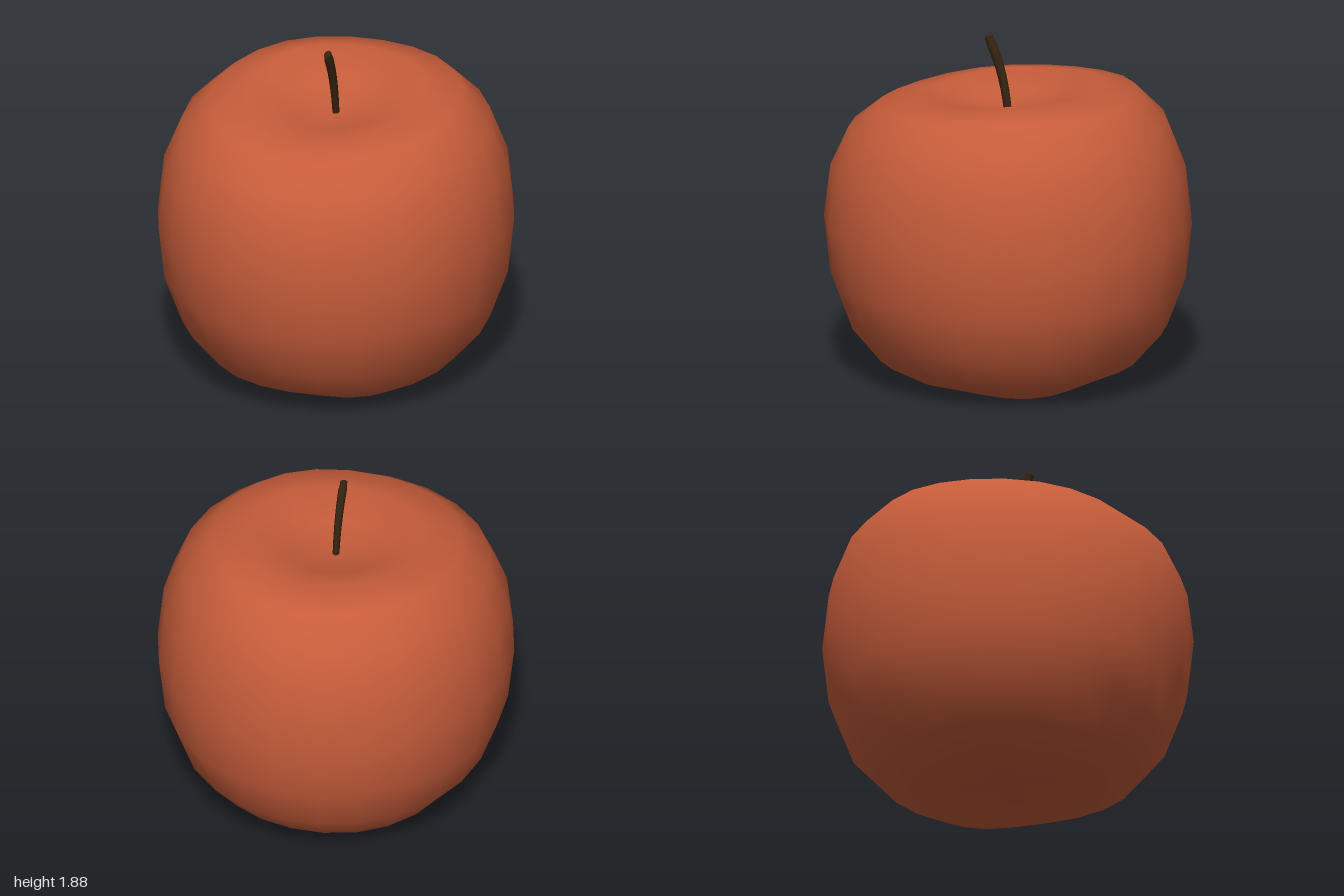
import * as THREE from 'three';
import { mergeVertices } from 'three/addons/utils/BufferGeometryUtils.js';

const skin = new THREE.MeshStandardMaterial({ color: 0xc65c3a });
skin.name = 'apple red';
const bark = new THREE.MeshStandardMaterial({ color: 0x35230f });
bark.name = 'stem brown';

// Drop the texture seam so that normals run smoothly all around
function smooth(geometry) {
  geometry.deleteAttribute('uv');
  geometry.deleteAttribute('normal');
  const merged = mergeVertices(geometry, 1e-4);
  merged.computeVertexNormals();
  return merged;
}

// Rings from the top pole to the bottom pole: height, tilt to the front, sag at front and back, lobe height
const RINGS = [
  [1.47, 0, 0, 0], [1.52, 0.025, 0.008, 0], [1.6, 0.052, 0.018, 0.015], [1.56, 0.049, 0.023, 0.01],
  [1.42, 0.038, 0.02, 0], [1.18, 0.018, 0.012, 0], [0.875, 0, 0, 0], [0.567, 0, 0, 0],
  [0.302, 0, 0, 0], [0.125, 0, 0, -0.012], [0.03, 0, 0, -0.027], [0.05, 0, 0, 0], [0.08, 0, 0, 0],
];

// Apple body: a sphere whose rings are reshaped into a dimpled, tilted fruit
function makeBody() {
  const geometry = new THREE.SphereGeometry(1, 24, 12);
  const p = geometry.attributes.position;
  for (let i = 0; i < p.count; i++) {
    const [height, tilt, sag, lobe] = RINGS[Math.floor(i / 25)];
    const x = p.getX(i), z = p.getZ(i);
    const a = Math.atan2(z, x), s = Math.sin(a);
    const y = height - tilt * s - sag * s * s + lobe * 0.5 * (1 - Math.cos(4 * a));
    p.setXYZ(i, x * 0.955, y, z);
  }
  return new THREE.Mesh(smooth(geometry), skin);
}

// Stem: a curved tube that thickens upward and has a rounded end
function makeStem() {
  const curve = new THREE.CatmullRomCurve3([
    new THREE.Vector3(0, 1.46, -0.002), new THREE.Vector3(0, 1.6, 0.022),
    new THREE.Vector3(0, 1.74, 0.063), new THREE.Vector3(0, 1.865, 0.122),
  ]);
  const steps = 10, sides = 10;
  const geometry = new THREE.TubeGeometry(curve, steps, 1, sides);
  const p = geometry.attributes.position;
  const v = new THREE.Vector3();
  for (let i = 0; i < p.count; i++) {
    const t = Math.floor(i / (sides + 1)) / steps;
    const c = curve.getPointAt(t);
    const r = t === 1 ? 0.018 : 0.018 + 0.006 * t;
    v.fromBufferAttribute(p, i).sub(c);
    v.set(v.x * r, v.y * r * 1.25, v.z * r * 1.25).add(c);
    p.setXYZ(i, v.x, v.y, v.z);
  }
  const stem = new THREE.Group();
  const stalk = new THREE.Mesh(smooth(geometry), bark);
  stalk.name = 'stalk';
  const tip = new THREE.Mesh(new THREE.SphereGeometry(1, 10, 6), bark);
  tip.name = 'stalkTip';
  tip.scale.set(0.02, 0.012, 0.027);
  tip.position.copy(curve.getPointAt(1));
  tip.rotation.x = 0.44;
  stem.add(stalk, tip);
  return stem;
}

export function createModel() {
  const apple = new THREE.Group();
  apple.name = 'apple';
  const body = makeBody();
  body.name = 'body';
  const stem = makeStem();
  stem.name = 'stem';
  apple.add(body, stem);
  return apple;
}
